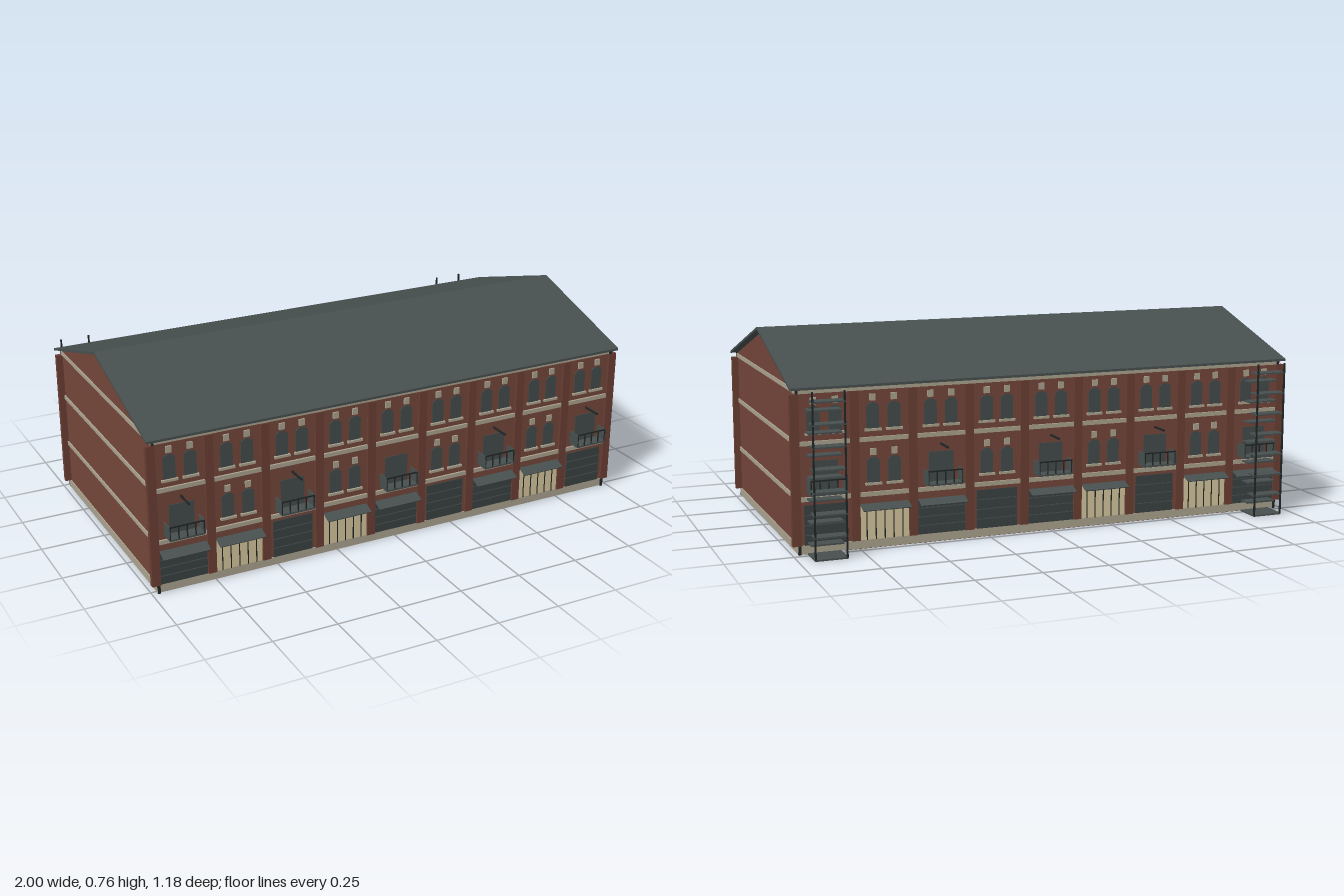
import * as THREE from 'three';

const mat = (name, color) => {
  const m = new THREE.MeshStandardMaterial({ color });
  m.name = name;
  return m;
};

export function createModel() {
  const brick = mat('brick', 0x74463a);
  const darkBrick = mat('dark brick', 0x6a3e33);
  const stone = mat('stone', 0xaba28f);
  const slate = mat('slate', 0x474f4f);
  const glass = mat('window glass', 0x434b4b);
  const shutter = mat('shutter grey', 0x3a4141);
  const cream = mat('cream shopfront', 0xd6c79d);
  const iron = mat('black iron', 0x1f2526);

  const model = new THREE.Group();
  model.name = 'terraceBuilding';
  const body = new THREE.Group();
  body.name = 'building';
  body.position.z = 0.018;
  model.add(body);

  // box spanning given ranges on each axis
  const box = (parent, name, material, x0, x1, y0, y1, z0, z1) => {
    const m = new THREE.Mesh(new THREE.BoxGeometry(x1 - x0, y1 - y0, z1 - z0), material);
    m.position.set((x0 + x1) / 2, (y0 + y1) / 2, (z0 + z1) / 2);
    m.name = name;
    parent.add(m);
    return m;
  };
  // profile in (z, y) extruded along x, centred
  const prism = (name, material, pts, length) => {
    const s = new THREE.Shape(pts.map(([a, b]) => new THREE.Vector2(a, b)));
    const g = new THREE.ExtrudeGeometry(s, { depth: length, bevelEnabled: false });
    g.translate(0, 0, -length / 2).rotateY(Math.PI / 2);
    const m = new THREE.Mesh(g, material);
    m.name = name;
    body.add(m);
  };

  const D = 0.495, X = 0.975, P = 0.2185;

  // walls with gables, and the roof
  prism('walls', brick, [[-D, 0], [D, 0], [D, 0.6], [0, 0.75], [-D, 0.6]], X * 2);
  prism('roof', slate, [[-0.515, 0.598], [-0.515, 0.607], [0, 0.764], [0.515, 0.607], [0.515, 0.598], [0, 0.754]], 2);
  box(body, 'plinth', stone, -X - 0.004, X + 0.004, 0.002, 0.033, -D - 0.004, D + 0.004);
  box(body, 'cornice', stone, -X - 0.004, X + 0.004, 0.583, 0.599, -D - 0.004, D + 0.004);
  for (const s of [-1, 1]) {
    for (const y of [0.194, 0.396]) {
      box(body, 'sideBand', stone, s * X - 0.005, s * X + 0.005, y, y + 0.016, -D, D);
    }
  }

  // window with a shallow arched head
  const w = 0.024;
  const arch = new THREE.Shape();
  arch.moveTo(-w, 0);
  arch.lineTo(w, 0);
  arch.lineTo(w, 0.082);
  arch.quadraticCurveTo(0, 0.108, -w, 0.082);
  const archGeo = new THREE.ExtrudeGeometry(arch, { depth: 0.003, bevelEnabled: false, curveSegments: 6 });

  const windowPair = (parent, x, y) => {
    for (const s of [-1, 1]) {
      const cx = x + s * 0.04;
      const pane = new THREE.Mesh(archGeo, glass);
      pane.name = 'window';
      pane.position.set(cx, y, D);
      parent.add(pane);
      box(parent, 'windowSill', stone, cx - 0.031, cx + 0.031, y - 0.009, y, D, D + 0.01);
      box(parent, 'keystone', stone, cx - 0.011, cx + 0.011, y + 0.101, y + 0.126, D, D + 0.006);
    }
  };

  // iron balcony with slab, solid ends and a barred front
  const balcony = (parent, x) => {
    const b = new THREE.Group();
    b.name = 'balcony';
    parent.add(b);
    const h = 0.067, z = 0.548;
    box(b, 'balconyDoor', glass, x - 0.048, x + 0.048, 0.222, 0.34, D, D + 0.003);
    box(b, 'balconySlab', slate, x - h, x + h, 0.222, 0.229, D, z);
    box(b, 'topRail', iron, x - h, x + h, 0.274, 0.279, z - 0.004, z);
    for (const s of [-1, 1]) {
      box(b, 'balconyEnd', slate, x + s * h - 0.002, x + s * h + 0.002, 0.225, 0.278, D, z);
    }
    for (let i = 0; i < 5; i++) {
      const bx = x - h + 0.002 + i * (h - 0.002) / 2;
      box(b, 'railBar', iron, bx - 0.002, bx + 0.002, 0.228, 0.276, z - 0.004, z);
    }
  };

  const creamBays = [1, 3, 7], openBays = [2, 5, 8];

  const groundFloor = (parent, i, x) => {
    const open = openBays.includes(i), isCream = creamBays.includes(i);
    const h = open ? 0.08 : 0.092, top = open ? 0.18 : 0.165;
    box(parent, 'shopfront', isCream ? cream : shutter, x - h, x + h, 0.033, top, D, D + 0.004);
    if (isCream) {
      for (let k = -2; k <= 2; k++) {
        box(parent, 'mullion', iron, x + k * 0.034 - 0.0018, x + k * 0.034 + 0.0018, 0.033, top, D, D + 0.006);
      }
    } else {
      for (let k = 1; k < 4; k++) {
        const y = 0.033 + k * (top - 0.033) / 4;
        box(parent, 'shutterRib', slate, x - h, x + h, y - 0.0015, y + 0.0015, D, D + 0.006);
      }
    }
    if (!open) {
      // sloping awning plate
      const a = box(parent, 'awning', slate, x - 0.091, x + 0.091, 0.156, 0.159, D, 0.541);
      a.rotation.x = 0.36;
    }
  };

  // one long side, with nine bays; mirrored in x for the back
  const facade = (name, back) => {
    const f = new THREE.Group();
    f.name = name;
    if (back) f.rotation.y = Math.PI;
    body.add(f);
    const sx = back ? -1 : 1;
    for (let i = 0; i < 10; i++) {
      const x = (i - 4.5) * P;
      box(f, 'pilaster', darkBrick, x - 0.0165, x + 0.0165, 0.033, 0.583, D - 0.01, D + 0.01);
    }
    for (let i = 0; i < 9; i++) {
      const x = sx * (i - 4) * P;
      for (const y of [0.194, 0.396]) {
        box(f, 'bayBand', stone, x - 0.092, x + 0.092, y, y + 0.016, D, D + 0.008);
      }
      groundFloor(f, i, x);
      windowPair(f, x, 0.443);
      if (i % 2) {
        windowPair(f, x, 0.244);
      } else {
        balcony(f, x);
        const endBay = i === 0 || i === 8;
        if (back ? !endBay : i !== 4) {
          box(f, 'flagpole', iron, x - 0.003, x + 0.003, 0.364, 0.371, D, 0.575);
        }
      }
    }
    for (const s of [-1, 1]) {
      box(f, 'drainpipe', iron, s * 0.974 - 0.005, s * 0.974 + 0.005, 0, 0.6, D, D + 0.009);
    }
  };
  facade('frontFacade', false);
  facade('backFacade', true);

  // fire escapes at both ends of the back wall
  for (const s of [-1, 1]) {
    const e = new THREE.Group();
    e.name = 'fireEscape';
    body.add(e);
    const x = s * 0.884, h = 0.061, z0 = -0.605, z1 = -0.553, z2 = -0.504;
    box(e, 'escapeBase', slate, x - h, x + h, 0, 0.006, z0, z2);
    for (let k = 0; k < 7; k++) {
      const yi = 0.044 + k * 0.0807, yo = 0.083 + k * 0.0807;
      box(e, 'innerLanding', slate, x - h, x + h, yi - 0.003, yi + 0.003, z1, z2);
      box(e, 'outerLanding', slate, x - h, x + h, yo - 0.003, yo + 0.003, z0, z1);
    }
    for (const px of [-1, 1]) {
      const cx = x + px * (h - 0.003);
      box(e, 'escapePost', iron, cx - 0.003, cx + 0.003, 0, 0.605, z0, z0 + 0.006);
    }
  }

  return model;
}
